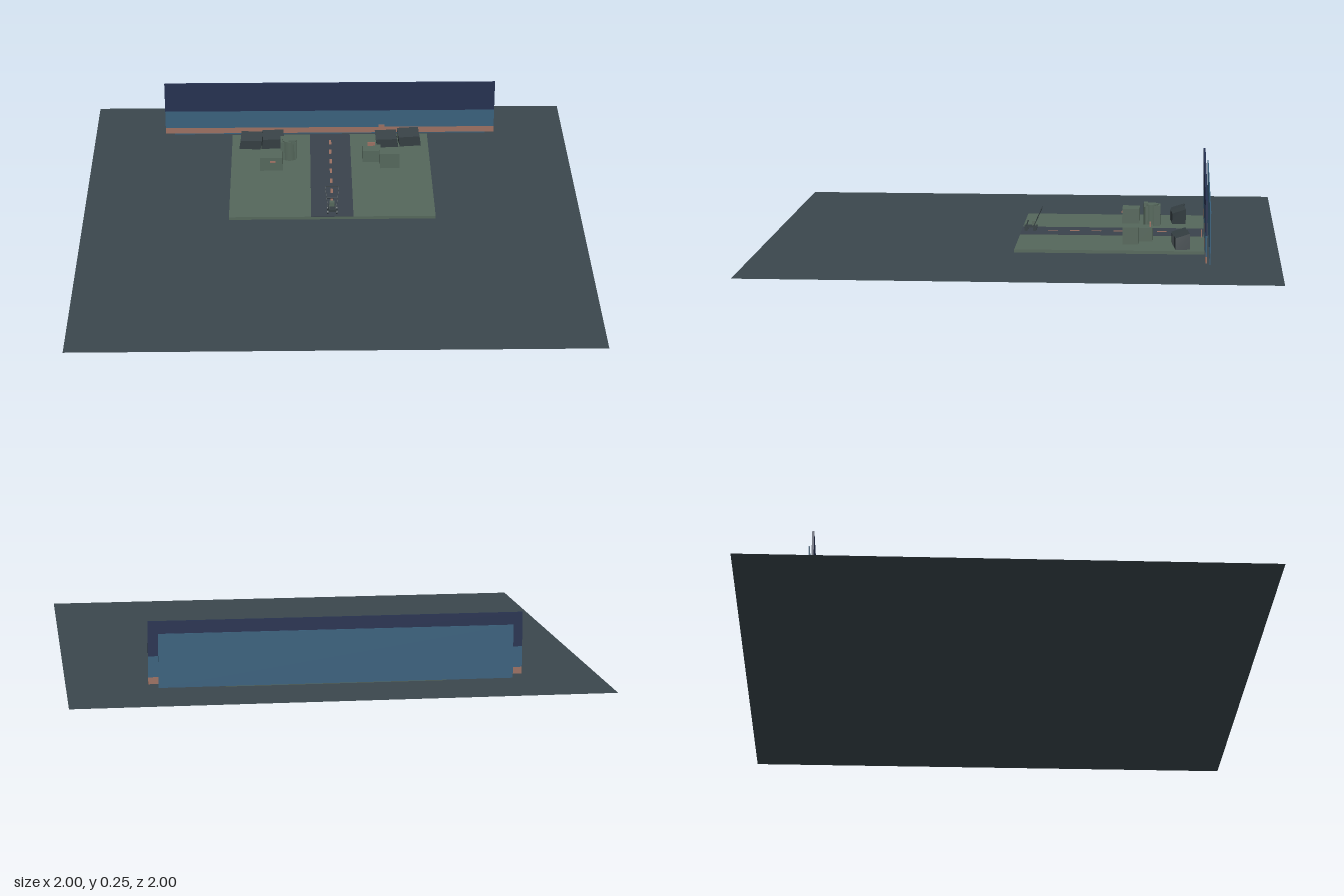
import * as THREE from 'three';

const mat = (name, color, side = THREE.FrontSide) => {
  const m = new THREE.MeshStandardMaterial({ color, side });
  m.name = name;
  return m;
};

export function createModel() {
  const root = new THREE.Group();
  const slate = mat('slate ground', 0x3b474d, THREE.DoubleSide);
  const green = mat('moss green', 0x55675b);
  const asphalt = mat('asphalt', 0x3a434c);
  const coral = mat('coral', 0x9b7062);
  const blue = mat('dusk blue', 0x39607c);
  const navy = mat('night navy', 0x253150);
  const stone = mat('dark stone', 0x343e42);

  const add = (name, geo, material, x, y, z, parent = root) => {
    const m = new THREE.Mesh(geo, material);
    m.name = name;
    m.position.set(x, y, z);
    parent.add(m);
    return m;
  };
  // Box given by its limits
  const block = (name, material, x0, x1, y0, y1, z0, z1, parent) =>
    add(name, new THREE.BoxGeometry(x1 - x0, y1 - y0, z1 - z0), material,
      (x0 + x1) / 2, (y0 + y1) / 2, (z0 + z1) / 2, parent);
  // Thin round bar between two points
  const bar = (name, material, a, b, r, parent) => {
    const p = new THREE.Vector3(...a), q = new THREE.Vector3(...b);
    const d = q.clone().sub(p);
    const m = add(name, new THREE.CylinderGeometry(r, r, d.length(), 6), material, 0, 0, 0, parent);
    m.position.copy(p).add(q).multiplyScalar(0.5);
    m.quaternion.setFromUnitVectors(new THREE.Vector3(0, 1, 0), d.normalize());
  };

  // Ground and raised stage
  const ground = add('ground', new THREE.PlaneGeometry(2, 2), slate, 0, 0, 0);
  ground.rotation.x = -Math.PI / 2;
  block('stage', green, -0.415, 0.415, 0.001, 0.013, -0.715, 0.012);
  block('road', asphalt, -0.085, 0.085, 0.012, 0.015, -0.714, 0.012);
  for (let i = 0; i < 7; i++) {
    const z = -0.636 + i * 0.087;
    block('roadDash', coral, -0.005, 0.005, 0.014, 0.0165, z - 0.019, z + 0.019);
  }

  // Banded sky backdrop with a second panel behind it
  block('skyTop', navy, -0.7, 0.7, 0.125, 0.255, -0.724, -0.716);
  block('skyMiddle', blue, -0.7, 0.7, 0.046, 0.125, -0.723, -0.717);
  block('skyHorizon', coral, -0.7, 0.7, 0.02, 0.046, -0.723, -0.717);
  block('rearPanel', blue, -0.663, 0.663, 0.008, 0.21, -0.737, -0.733);

  // Buildings
  block('leftFrontBuilding', green, -0.295, -0.2, 0.012, 0.072, -0.455, -0.385);
  block('leftRearBuilding', green, -0.21, -0.145, 0.012, 0.095, -0.54, -0.48);
  add('roundTower', new THREE.CylinderGeometry(0.03, 0.03, 0.088, 20), green, -0.172, 0.056, -0.502);
  block('chimney', green, -0.176, -0.148, 0.09, 0.107, -0.49, -0.474);
  block('rightRearBuilding', green, 0.133, 0.21, 0.012, 0.066, -0.515, -0.455);
  block('rightFrontBuilding', green, 0.205, 0.285, 0.012, 0.08, -0.46, -0.4);
  block('roofSign', coral, 0.155, 0.187, 0.066, 0.082, -0.507, -0.502);
  block('wallSign', coral, -0.252, -0.23, 0.05, 0.058, -0.385, -0.382);
  block('horizonMarker', coral, 0.207, 0.233, 0.035, 0.062, -0.706, -0.703);

  // Sloped stone blocks: top rises to the back and leans outward
  const rock = (x, z, w, h, lean, turn) => {
    const g = new THREE.BoxGeometry(w, h, 0.055);
    const p = g.attributes.position;
    for (let i = 0; i < p.count; i++) {
      if (p.getY(i) > 0) {
        p.setY(i, p.getY(i) - (p.getZ(i) > 0 ? 0.018 : 0));
        p.setX(i, p.getX(i) + lean);
      }
    }
    g.computeVertexNormals();
    add('stoneBlock', g, stone, x, 0.012 + h / 2, z).rotation.y = turn;
  };
  rock(-0.338, -0.608, 0.09, 0.058, 0.006, -0.06);
  rock(-0.247, -0.612, 0.09, 0.062, 0.006, 0.08);
  rock(0.242, -0.618, 0.09, 0.056, -0.006, 0.06);
  rock(0.337, -0.628, 0.09, 0.062, -0.006, 0.1);

  // Small cart with a tilted open frame
  const cart = new THREE.Group();
  cart.name = 'cart';
  root.add(cart);
  block('cartBed', stone, -0.016, 0.016, 0.028, 0.036, -0.05, 0, cart);
  block('cartSeat', green, -0.01, 0.01, 0.036, 0.054, -0.046, -0.03, cart);
  for (const s of [-1, 1]) {
    for (const z of [-0.042, -0.008]) {
      add('wheel', new THREE.CylinderGeometry(0.008, 0.008, 0.006, 10), stone, s * 0.018, 0.023, z, cart)
        .rotation.z = Math.PI / 2;
    }
    bar('frameSide', stone, [s * 0.018, 0.036, -0.038], [s * 0.028, 0.106, -0.07], 0.0015, cart);
    bar('handle', stone, [s * 0.012, 0.036, -0.008], [s * 0.012, 0.054, -0.014], 0.002, cart);
  }
  bar('frameTop', stone, [-0.028, 0.106, -0.07], [0.028, 0.106, -0.07], 0.0015, cart);
  bar('frameMiddle', stone, [-0.022, 0.064, -0.051], [0.022, 0.064, -0.051], 0.0015, cart);
  return root;
}
